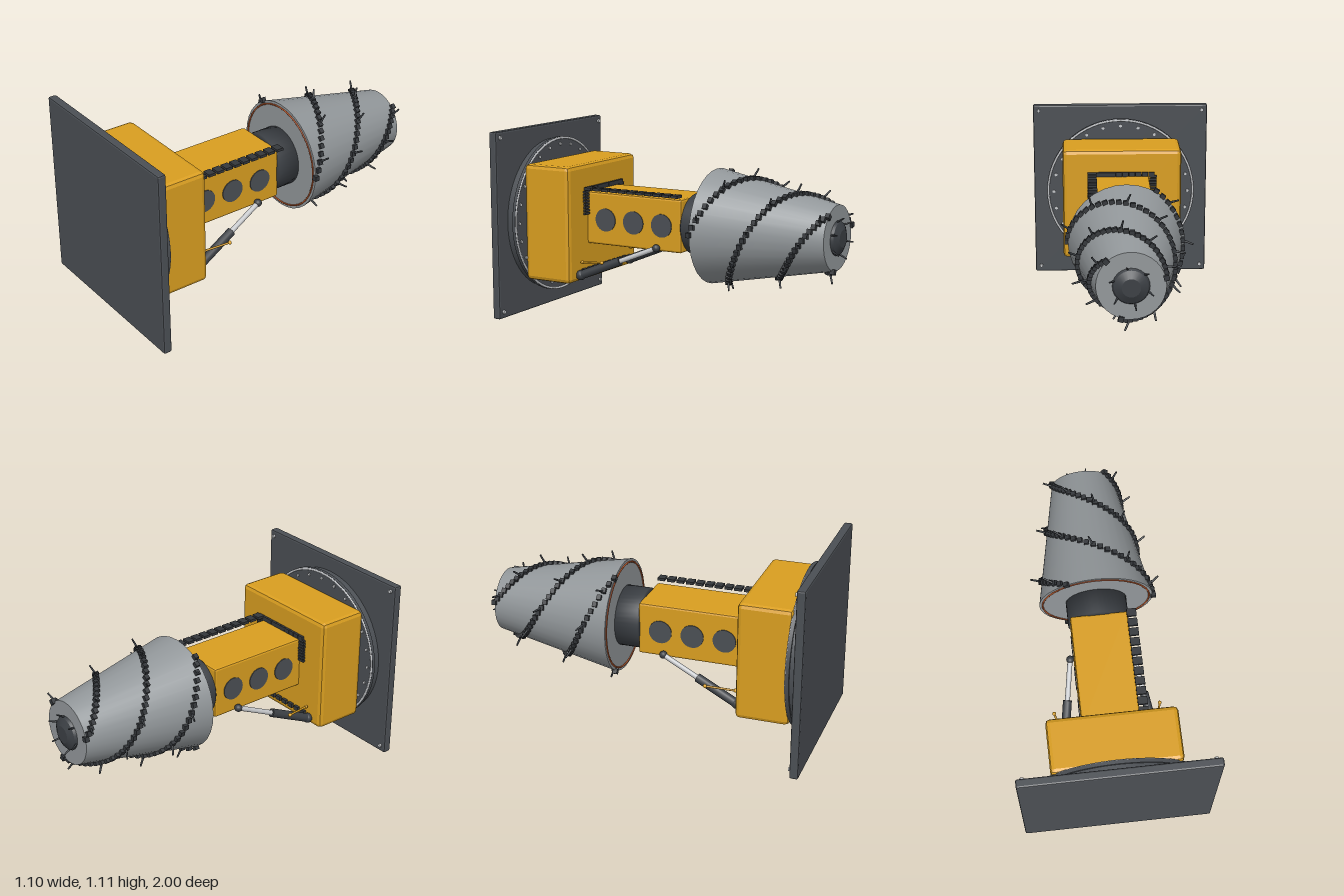
import * as THREE from 'three';
import { mergeGeometries } from 'three/addons/utils/BufferGeometryUtils.js';
import { RoundedBoxGeometry } from 'three/addons/geometries/RoundedBoxGeometry.js';

const V = (x, y, z) => new THREE.Vector3(x, y, z);
const UP = V(0, 1, 0);

export function createModel() {
  const model = new THREE.Group();
  model.name = 'drumCutter';
  const mat = (name, color) => {
    const m = new THREE.MeshStandardMaterial({ color });
    m.name = name;
    return m;
  };
  const yellow = mat('machineYellow', 0xd99e20);
  const plateGrey = mat('plateGrey', 0x4b4f54);
  const dark = mat('darkSteel', 0x3b3f44);
  const black = mat('toothSteel', 0x34373b);
  const grey = mat('drumGrey', 0x92979a);
  const silver = mat('polishedSteel', 0xc4c6c9);
  const orange = mat('warningOrange', 0xb8592d);

  const add = (name, geo, material) => {
    const mesh = new THREE.Mesh(geo, material);
    mesh.name = name;
    model.add(mesh);
    return mesh;
  };
  const box = (w, h, d, x, y, z) => new THREE.BoxGeometry(w, h, d).translate(x, y, z);
  const ball = (r, p) => new THREE.SphereGeometry(r, 14, 10).translate(p.x, p.y, p.z);
  // Box with flat chamfered edges
  const chamfer = (w, h, d, r, x, y, z) => {
    const g = new RoundedBoxGeometry(w, h, d, 1, r);
    g.computeVertexNormals();
    return g.translate(x, y, z);
  };
  // Round bar between two points
  const bar = (a, b, r, sides = 14, r2 = r) => {
    const dir = b.clone().sub(a);
    const q = new THREE.Quaternion().setFromUnitVectors(UP, dir.clone().normalize());
    const c = a.clone().add(b).multiplyScalar(0.5);
    return new THREE.CylinderGeometry(r2, r, dir.length(), sides).applyQuaternion(q).translate(c.x, c.y, c.z);
  };
  const along = (y, z1, z2, r1, r2 = r1, sides = 32) => bar(V(0, y, z1), V(0, y, z2), r1, sides, r2);

  // Mounting plate and corner bolts
  add('mountingPlate', chamfer(1.1, 1.105, 0.05, 0.01, 0, 0.5525, 0.975), plateGrey);
  const bolts = [];
  for (const x of [-0.515, 0.515]) for (const y of [0.04, 1.07])
    bolts.push(bar(V(x, y, 0.955), V(x, y, 0.938), 0.012, 6));

  // Slewing flange with its bolt circle
  const FY = 0.56;
  add('flangeBase', along(FY, 0.955, 0.9, 0.455, 0.455, 64), plateGrey);
  add('flangeLip', along(FY, 0.907, 0.887, 0.468, 0.468, 64), plateGrey);
  add('flangeRing', new THREE.TorusGeometry(0.46, 0.007, 8, 64).translate(0, FY, 0.888), silver);
  for (let i = 0; i < 24; i++) {
    const a = (i / 24) * Math.PI * 2;
    const x = Math.cos(a) * 0.425, y = FY + Math.sin(a) * 0.425;
    bolts.push(bar(V(x, y, 0.89), V(x, y, 0.88), 0.01, 6));
  }
  add('bolts', mergeGeometries(bolts), silver);

  // Gearbox housing and boom
  const CY = 0.58;
  add('housing', chamfer(0.73, 0.69, 0.31, 0.025, 0, 0.56, 0.735), yellow);
  add('boom', chamfer(0.33, 0.31, 0.65, 0.012, 0, 0.585, 0.268), yellow);
  const covers = [];
  for (const s of [-1, 1]) for (const z of [0.455, 0.265, 0.075])
    covers.push(bar(V(s * 0.16, CY, z), V(s * 0.17, CY, z), 0.068, 32));
  add('boomCovers', mergeGeometries(covers), plateGrey);

  // Collar between boom and drum
  const collar = [[0, 0.05], [0.168, 0.05], [0.177, 0.06], [0.177, 0.22], [0, 0.22]].map(p => new THREE.Vector2(...p));
  const flat = new THREE.LatheGeometry(collar, 40).rotateX(-Math.PI / 2).translate(0, CY, 0);
  add('collar', flat, dark).material.side = THREE.DoubleSide;

  // Tapered cutting drum, hub and orange rim
  const Z0 = -0.2, Z1 = -0.95, R0 = 0.332, R1 = 0.185;
  add('drum', along(CY, Z0, Z1, R0, R1, 32), grey);
  add('drumRim', new THREE.TorusGeometry(0.312, 0.005, 8, 48).translate(0, CY, Z0 + 0.002), orange);
  add('hubBase', along(CY, -0.94, -0.965, 0.105, 0.09, 24), dark);
  add('hubCap', along(CY, -0.965, -0.985, 0.09, 0.05, 24), dark);

  // Three helical rows of tooth blocks, with a pick on every fifth block
  const teeth = [], picks = [];
  const N = 40, SWEEP = Math.PI * 2 * 0.795;
  const point = (a, t, lift) => {
    const r = R0 + (R1 - R0) * t + lift;
    return V(r * Math.cos(a), CY + r * Math.sin(a), Z0 + (Z1 - Z0) * t);
  };
  for (let row = 0; row < 3; row++) {
    for (let i = 0; i < N; i++) {
      const t = i / (N - 1);
      const a = (row / 3) * Math.PI * 2 + SWEEP * t;
      const out = V(Math.cos(a), Math.sin(a), 0);
      const side = V(-Math.sin(a), Math.cos(a), 0);
      const p = point(a, t, 0.004);
      const m = new THREE.Matrix4().makeBasis(out, side, V(0, 0, 1)).setPosition(p);
      teeth.push(new THREE.BoxGeometry(0.03, 0.029, 0.026).applyMatrix4(m));
      if (i % 5 === 2) {
        const dir = out.clone().addScaledVector(side, 0.45).add(V(0, 0, -0.45)).normalize();
        picks.push(bar(p, p.clone().addScaledVector(dir, 0.068), 0.007, 8, 0.005));
      }
    }
  }
  // Short picks around the hub
  for (let i = 0; i < 6; i++) {
    const a = ((i + 0.3) / 6) * Math.PI * 2;
    const c = Math.cos(a), s = Math.sin(a);
    picks.push(bar(V(c * 0.09, CY + s * 0.09, -0.945), V(c * 0.12, CY + s * 0.12, -0.997), 0.006, 8, 0.004));
  }
  add('toothBlocks', mergeGeometries(teeth), black);
  add('picks', mergeGeometries(picks), dark);

  // Hydraulic rams with hose fittings, mirrored
  for (const s of [-1, 1]) {
    const base = V(s * 0.27, 0.258, 0.565), tip = V(s * 0.185, 0.45, 0.1);
    const mid = base.clone().lerp(tip, 0.53);
    add('ramBarrel', mergeGeometries([bar(base, mid, 0.026), ball(0.03, base)]), dark);
    add('ramRod', bar(mid, tip, 0.015), silver);
    add('ramPivot', mergeGeometries([ball(0.023, tip), bar(V(s * 0.15, 0.45, 0.1), tip, 0.014)]), dark);
    const h0 = V(s * 0.265, 0.335, 0.555), h1 = V(s * 0.31, 0.357, 0.39);
    add('hoseFitting', mergeGeometries([bar(h0, h1, 0.006, 8), ball(0.011, h0), ball(0.011, h1)]), yellow);
  }

  // Cable chains: along the boom, around its root, and between the rams
  const links = [];
  for (let i = 0; i < 11; i++) links.push(box(0.055, 0.016, 0.045, 0.185, 0.762, 0.55 - i * 0.0585));
  for (let i = 0; i < 10; i++) links.push(box(0.038, 0.026, 0.018, -0.18 + i * 0.04, 0.755, 0.574));
  for (const s of [-1, 1]) for (let i = 0; i < 8; i++)
    links.push(box(0.045, 0.013, 0.018, s * 0.19, 0.742 - i * 0.0185, 0.574));
  for (let i = 0; i < 9; i++) links.push(box(0.036, 0.026, 0.02, -0.22 + i * 0.055, 0.275, 0.572));
  add('cableChains', mergeGeometries(links), black);

  return model;
}
